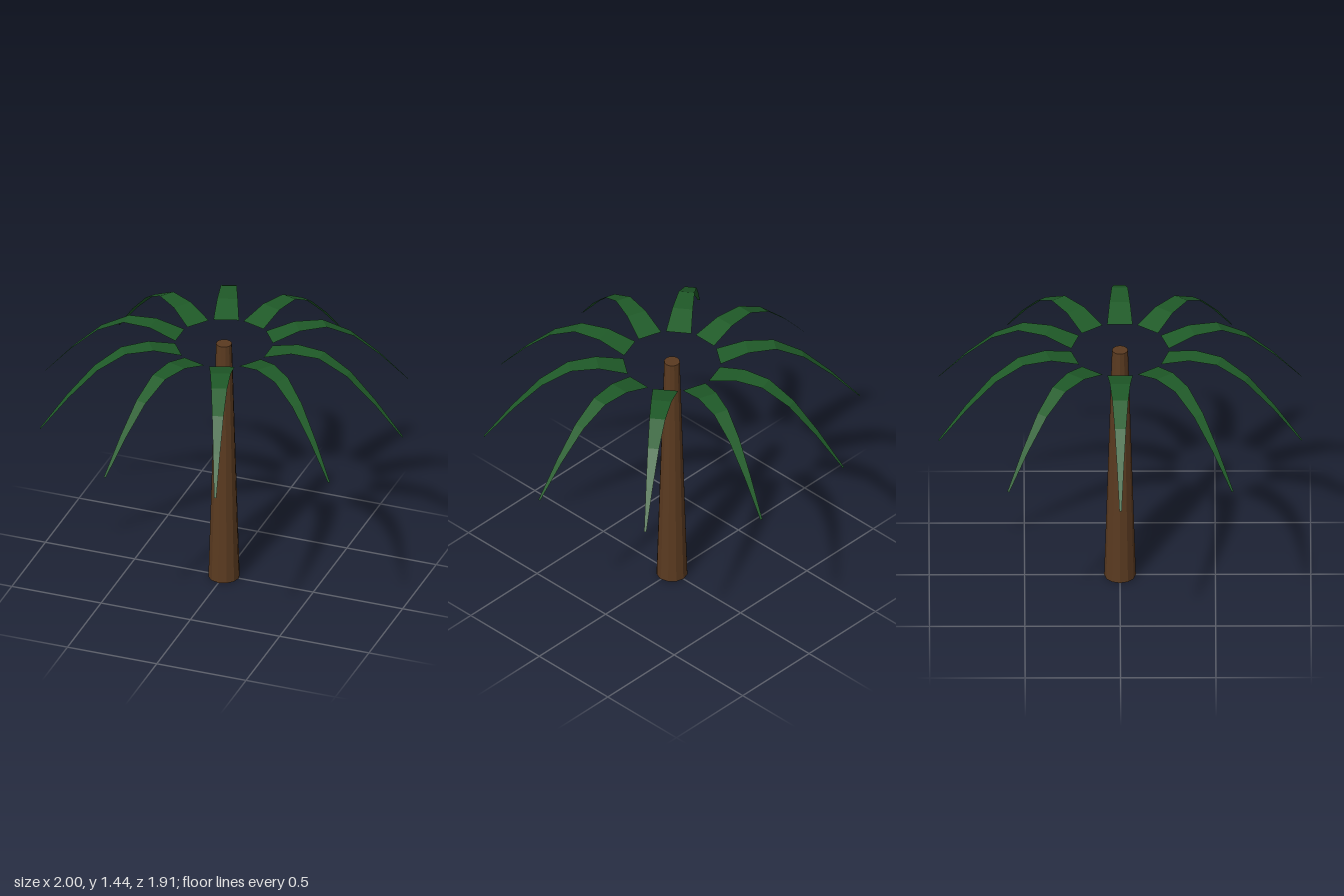
import * as THREE from 'three';

const FROND_COUNT = 10;
// centre line of a frond: [distance from trunk axis, height, half width]
const FROND = [
  [0.247, 1.4, 0.067],
  [0.397, 1.443, 0.054],
  [0.547, 1.438, 0.042],
  [0.697, 1.356, 0.03],
  [0.847, 1.212, 0.018],
  [1.0, 1.036, 0.006],
];

// Tapering, drooping strip along +x
function frondGeometry() {
  const positions = [];
  const index = [];
  FROND.forEach(([r, y, w], i) => {
    positions.push(r, y, w, r, y, -w);
    if (i > 0) {
      const a = 2 * (i - 1);
      index.push(a, a + 2, a + 1, a + 1, a + 2, a + 3);
    }
  });
  const geometry = new THREE.BufferGeometry();
  geometry.setAttribute('position', new THREE.Float32BufferAttribute(positions, 3));
  geometry.setIndex(index);
  geometry.computeVertexNormals();
  return geometry;
}

export function createModel() {
  const palm = new THREE.Group();
  palm.name = 'palmTree';

  const bark = new THREE.MeshStandardMaterial({ color: 0x5a3a20, flatShading: true });
  const leaf = new THREE.MeshStandardMaterial({
    color: 0x1f5a28, flatShading: true, side: THREE.DoubleSide,
  });

  // Trunk, narrowing upwards
  const trunk = new THREE.Mesh(new THREE.CylinderGeometry(0.042, 0.083, 1.4, 12), bark);
  trunk.name = 'trunk';
  trunk.position.y = 0.7;
  palm.add(trunk);

  // Ring of fronds around the crown
  const crown = new THREE.Group();
  crown.name = 'crown';
  const geometry = frondGeometry();
  for (let i = 0; i < FROND_COUNT; i++) {
    const frond = new THREE.Mesh(geometry, leaf);
    frond.name = `frond${i + 1}`;
    frond.rotation.y = (i / FROND_COUNT) * Math.PI * 2;
    crown.add(frond);
  }
  palm.add(crown);

  return palm;
}
